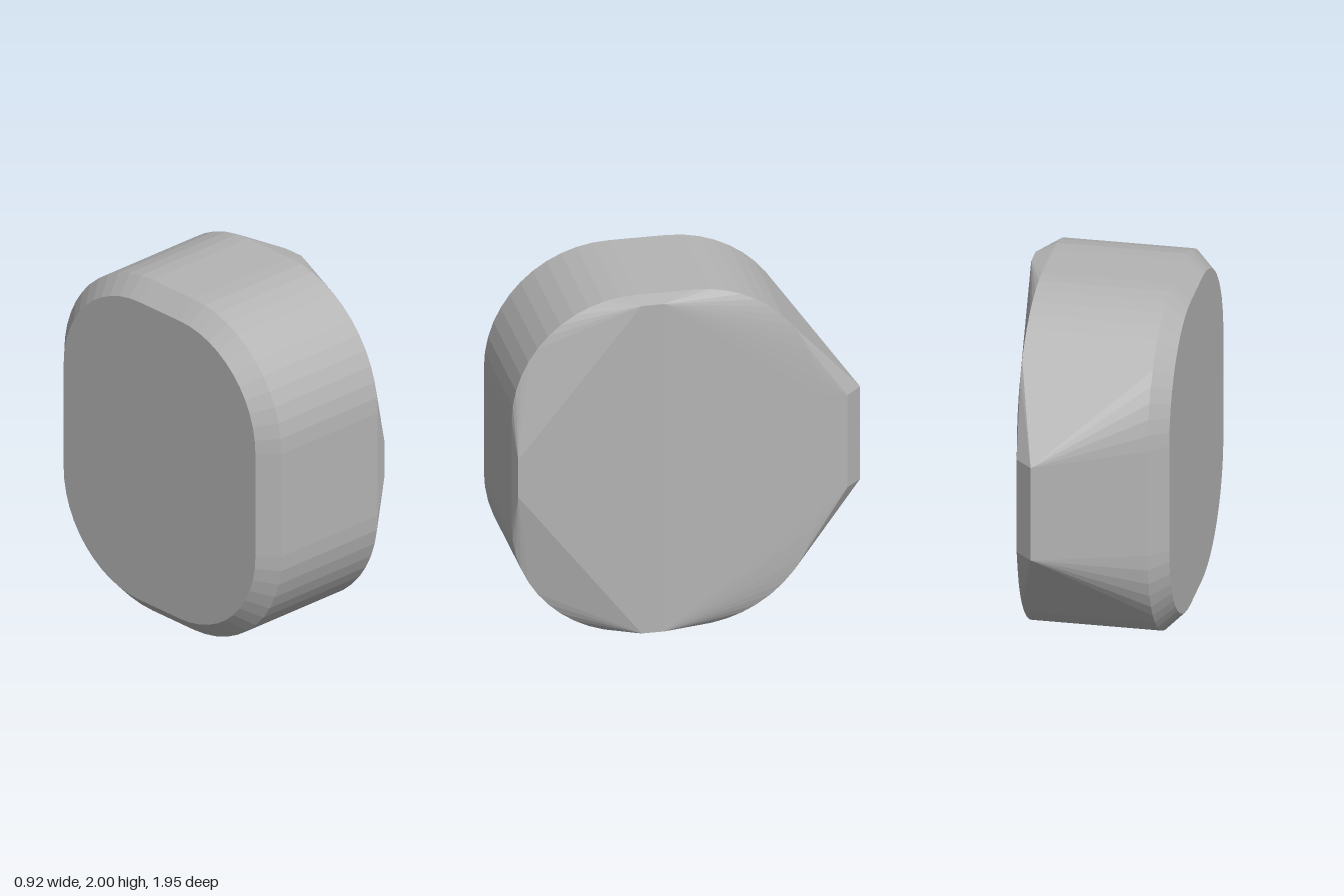
import * as THREE from 'three';
import { ConvexGeometry } from 'three/addons/geometries/ConvexGeometry.js';

const CENTRE_Y = 1, CENTRE_Z = 0.128;

// Rounded-rectangle outline in the y-z plane at a given x
function roundedRing(x, inset, steps = 12) {
  const flatZ = 0.16, flatY = 0.31, radius = 0.69 - inset;
  const points = [];
  for (let corner = 0; corner < 4; corner++) {
    const sz = corner === 0 || corner === 3 ? 1 : -1;
    const sy = corner < 2 ? 1 : -1;
    for (let i = 0; i <= steps; i++) {
      const a = (corner + i / steps) * Math.PI / 2;
      points.push(new THREE.Vector3(
        x,
        CENTRE_Y + sy * flatY + radius * Math.sin(a),
        CENTRE_Z + sz * flatZ + radius * Math.cos(a)
      ));
    }
  }
  return points;
}

// Mirror a point above and below the mid height
const pair = (x, halfY, z) => [1, -1].map(s => new THREE.Vector3(x, CENTRE_Y + s * halfY, z));

export function createModel() {
  const stone = new THREE.MeshStandardMaterial({ color: 0xb4b4b4 });
  stone.name = 'plain grey';

  const points = [
    ...roundedRing(-0.46, 0.1),   // chamfered side face
    ...roundedRing(-0.36, 0),     // body
    ...roundedRing(0.36, 0),
    ...pair(0.457, 0.975, 0.16),  // ridge of the bulging side face
    ...pair(0.457, 0.975, 0.28),
    ...pair(0.43, 0.11, 0.957),   // front tip of the bulge
    ...pair(0.235, 0.275, -0.976), // rear wedge
    ...pair(0.33, 0.275, -0.885)
  ];

  const body = new THREE.Mesh(new ConvexGeometry(points), stone);
  body.name = 'facetedBody';

  const model = new THREE.Group();
  model.name = 'facetedBlock';
  model.add(body);
  return model;
}
